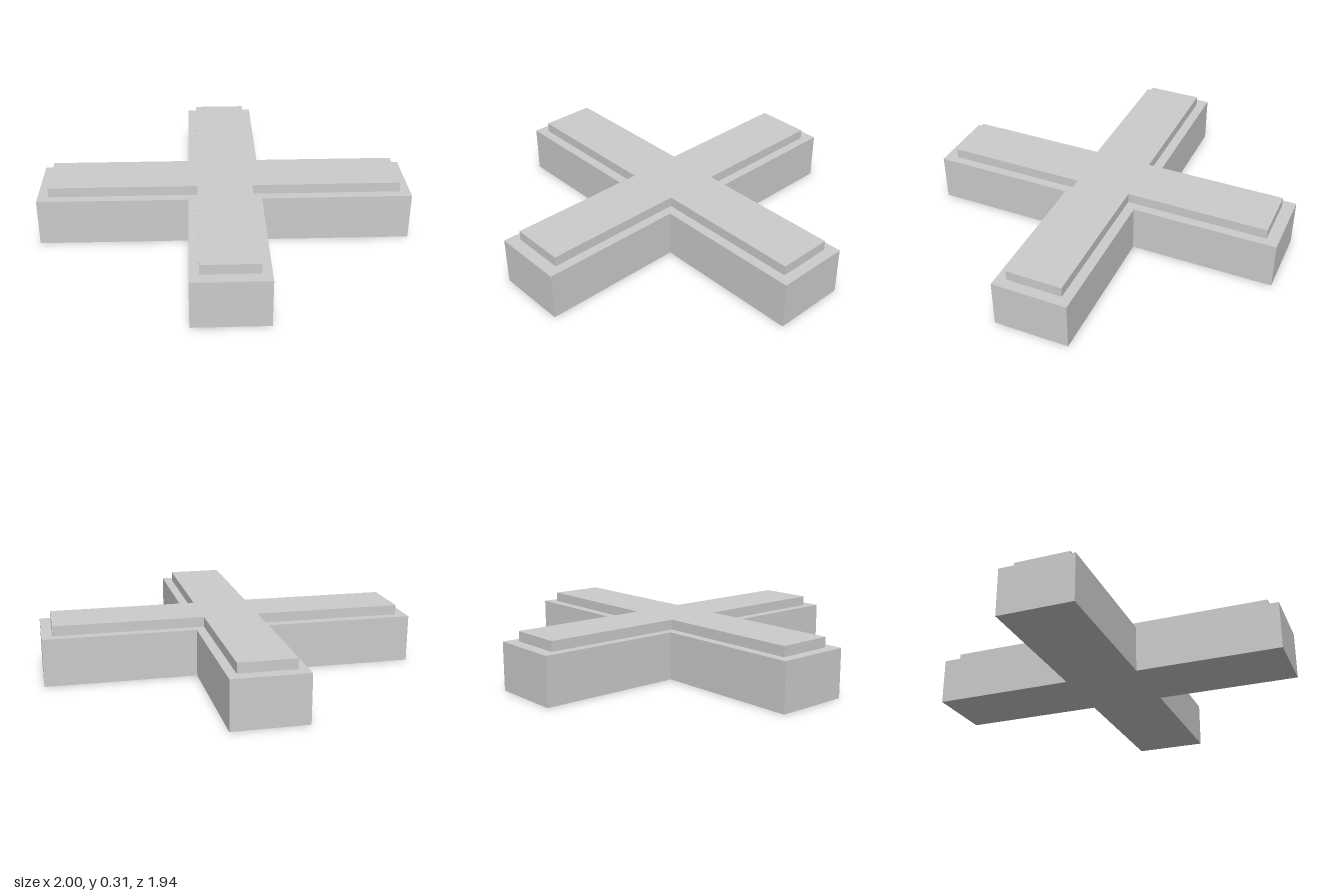
import * as THREE from 'three';

const material = new THREE.MeshStandardMaterial({ color: 0xcccccc, flatShading: true });

// Cross-shaped slab: lx, lz are arm half lengths; wx, wz are half widths along x and z
function crossSlab(name, lx, lz, wx, wz, y0, y1) {
  const shape = new THREE.Shape([
    [wx, -lz], [wx, -wz], [lx, -wz], [lx, wz], [wx, wz], [wx, lz],
    [-wx, lz], [-wx, wz], [-lx, wz], [-lx, -wz], [-wx, -wz], [-wx, -lz],
  ].map(([x, z]) => new THREE.Vector2(x, z)));
  const geometry = new THREE.ExtrudeGeometry(shape, { depth: y1 - y0, bevelEnabled: false });
  geometry.rotateX(-Math.PI / 2).translate(0, y0, 0);
  const mesh = new THREE.Mesh(geometry, material);
  mesh.name = name;
  return mesh;
}

export function createModel() {
  const group = new THREE.Group();
  group.name = 'crossBlock';
  // Thick lower cross
  group.add(crossSlab('base', 1, 0.971, 0.196, 0.2, 0, 0.255));
  // Thin inset cross on top
  group.add(crossSlab('raisedTop', 0.943, 0.906, 0.147, 0.148, 0.255, 0.308));
  return group;
}
